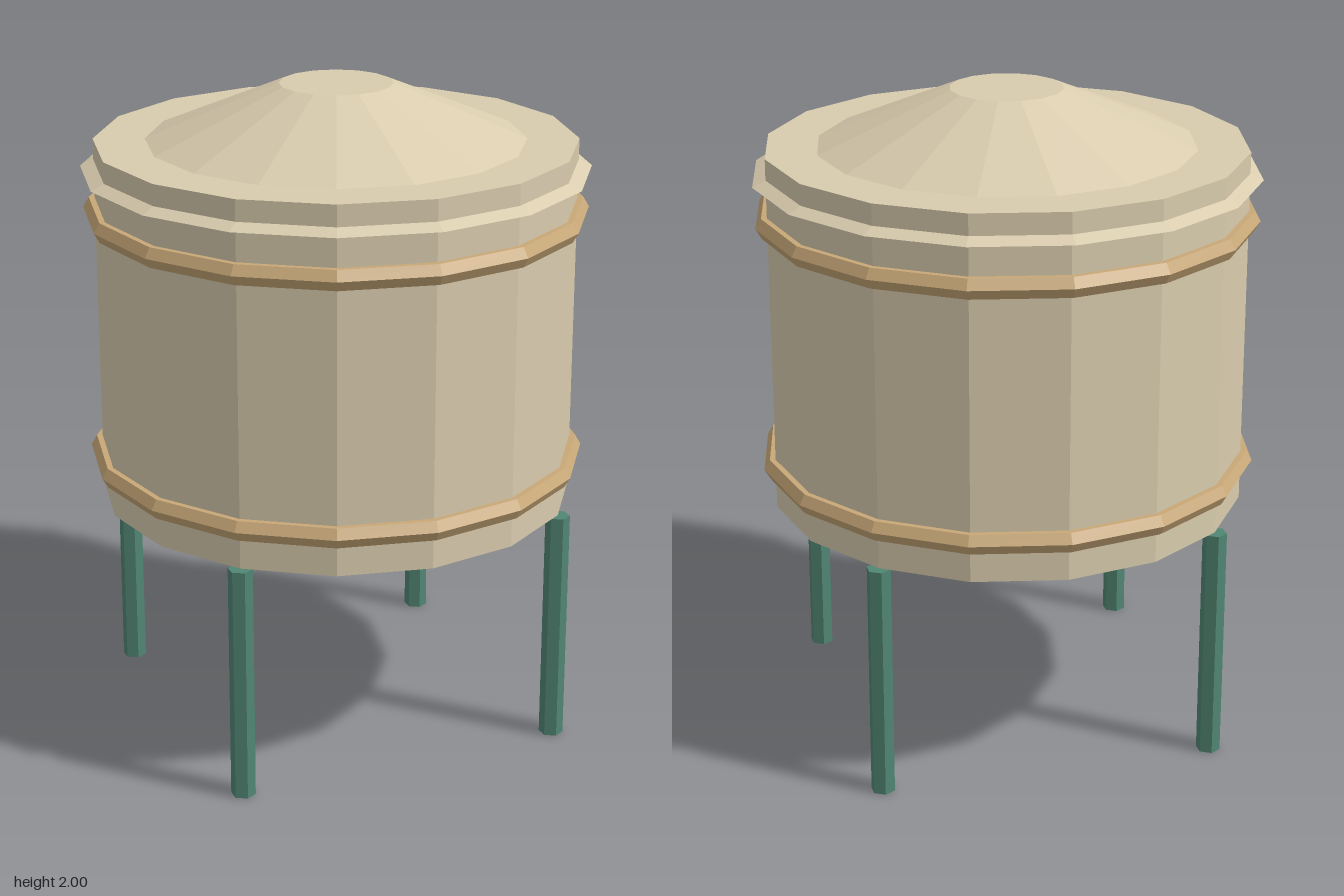
import * as THREE from 'three';

const SIDES = 16;
const BODY_RADIUS = 0.725;
const BODY_BOTTOM = 0.73;
const BODY_TOP = 1.83;

function material(name, color) {
  const m = new THREE.MeshStandardMaterial({ color, flatShading: true });
  m.name = name;
  return m;
}

export function createModel() {
  const model = new THREE.Group();
  model.name = 'raisedTank';

  const beige = material('beige', 0xd9ccae);
  const tan = material('tan', 0xc8a878);
  const green = material('green', 0x508673);

  function add(name, geometry, mat, x, y, z) {
    const mesh = new THREE.Mesh(geometry, mat);
    mesh.name = name;
    mesh.position.set(x, y, z);
    model.add(mesh);
  }

  // Upright cylinder or cone between two heights
  function addDrum(name, topRadius, bottomRadius, y0, y1, sides, mat, x = 0, z = 0) {
    const geometry = new THREE.CylinderGeometry(topRadius, bottomRadius, y1 - y0, sides);
    add(name, geometry, mat, x, (y0 + y1) / 2, z);
  }

  // Tank, overhanging rim and shallow truncated roof
  addDrum('tankBody', BODY_RADIUS, BODY_RADIUS, BODY_BOTTOM, BODY_TOP, SIDES, beige);
  addDrum('rim', BODY_RADIUS, 0.765, 1.747, 1.766, SIDES, beige);
  addDrum('roof', 0.17, 0.57, BODY_TOP, 2, SIDES, beige);

  // Two hoops around the tank
  const hoop = new THREE.TorusGeometry(BODY_RADIUS, 0.035, 6, SIDES).rotateX(Math.PI / 2);
  add('lowerHoop', hoop, tan, 0, 0.855, 0);
  add('upperHoop', hoop, tan, 0, 1.62, 0);

  // Four hexagonal legs under the tank's edge
  const legOffset = BODY_RADIUS * Math.SQRT1_2;
  for (const [end, sz] of [['front', 1], ['back', -1]]) {
    for (const [side, sx] of [['Left', 1], ['Right', -1]]) {
      addDrum(end + side + 'Leg', 0.037, 0.037, 0, BODY_BOTTOM, 6, green, sx * legOffset, sz * legOffset);
    }
  }

  return model;
}
